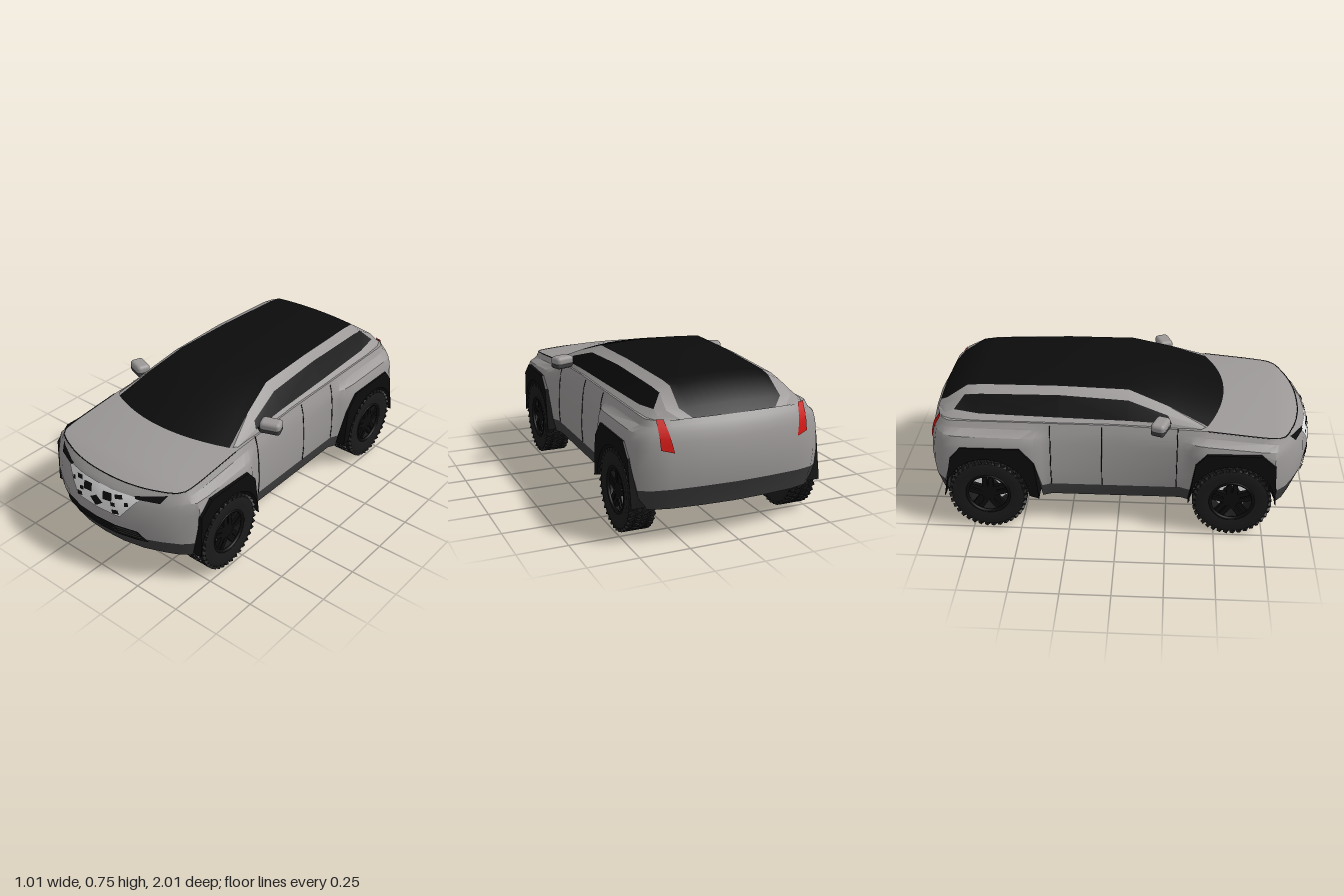
import * as THREE from 'three';
import { mergeGeometries, toCreasedNormals } from 'three/addons/utils/BufferGeometryUtils.js';
import { RoundedBoxGeometry } from 'three/addons/geometries/RoundedBoxGeometry.js';

const mat = (name, color) => new THREE.MeshStandardMaterial({ name, color, side: THREE.DoubleSide });
const paint = mat('silver paint', 0x9c9898);
const cladding = mat('dark grey cladding', 0x3d3d3d);
const black = mat('black', 0x0c0c0c);
const rubber = mat('tyre rubber', 0x1b1b1b);
const white = mat('white', 0xf2f2f2);
const red = mat('red lamp', 0xd01510);

// linear interpolation over ascending [key, value] pairs
function keyed(keys, t) {
  if (t <= keys[0][0]) return keys[0][1];
  for (let i = 1; i < keys.length; i++) {
    const [a, va] = keys[i - 1], [b, vb] = keys[i];
    if (t <= b) return va + (vb - va) * (t - a) / (b - a);
  }
  return keys[keys.length - 1][1];
}
const mix = (a, b, t) => a.map((v, i) => v + (b[i] - v) * t);

// surface through rows of points: pts[i][j]
function grid(pts, flip = false, crease = 0.6) {
  const m = pts[0].length, index = [];
  for (let i = 0; i < pts.length - 1; i++) {
    for (let j = 0; j < m - 1; j++) {
      const a = i * m + j, b = a + m, c = b + 1, d = a + 1;
      index.push(...(flip ? [a, c, b, a, d, c] : [a, b, c, a, c, d]));
    }
  }
  const g = new THREE.BufferGeometry();
  g.setAttribute('position', new THREE.Float32BufferAttribute(pts.flat(2), 3));
  g.setIndex(index);
  g.computeVertexNormals();
  return toCreasedNormals(g, crease);
}

// plan columns from nose to tail: x, z, wheel arch flare, bottom edge
const COLS = [
  [0, 1, 0, .18], [.12, .992, 0, .18], [.24, .96, 0, .18], [.34, .91, 0, .18], [.41, .86, .01, .18],
  [.435, .81, .03, .18], [.44, .79, .045, .42], [.445, .72, .05, .48], [.445, .45, .05, .48],
  [.445, .40, .04, .42], [.445, .37, .02, .18], [.445, .32, 0, .18], [.445, 0, 0, .18],
  [.445, -.34, 0, .18], [.445, -.385, .02, .18], [.445, -.42, .04, .40], [.445, -.49, .05, .48],
  [.445, -.79, .05, .48], [.445, -.84, .045, .42], [.44, -.89, .03, .18], [.41, -.94, .01, .18],
  [.33, -.97, 0, .18], [.17, -.99, 0, .18], [0, -1, 0, .18],
];
const beltY = z => keyed([[-1, .60], [0, .595], [.45, .575], [.8, .54], [1, .53]], z);
const cladY = z => keyed([[-1, .29], [-.85, .27], [-.4, .25], [.4, .25], [1, .265]], z);
const hoodY = z => keyed([[0, .595], [.32, .6], [.53, .598], [.7, .578], [.85, .555], [.93, .53]], z);
const INSET = [[-.3, .05], [-.1, .02], [0, .01], [.25, 0], [.6, .012], [.82, .03], [.92, .05], [1, .07]];
const FLARE = [[.7, 1], [.82, .8], [.9, .1], [1, 0]];

// point of the body side on a column at height y
function shell([x, z, flare], y) {
  const f = (y - cladY(z)) / (beltY(z) - cladY(z)), s = keyed(INSET, f);
  const end = Math.min(1, Math.max(0, (Math.abs(z) - .8) / .2));
  return [(x + flare * keyed(FLARE, f)) * (1 - s), y, z - Math.sign(z) * s * end];
}
// depth of the nose (sg 1) or tail (sg -1) at x, y
function faceZ(x, y, sg) {
  const p = (sg > 0 ? COLS : [...COLS].reverse()).slice(0, 8).map(c => shell(c, y));
  return keyed(p.map(q => [q[0], q[2]]), Math.abs(x));
}

export function createModel() {
  const root = new THREE.Group();
  const add = (name, geo, material, parent = root) => {
    const m = new THREE.Mesh(geo, material);
    m.name = name;
    parent.add(m);
    return m;
  };

  // Body shell and lower cladding, running all the way round
  const flipX = p => [-p[0], p[1], p[2]];
  const around = rowsOf => {
    const half = COLS.map(rowsOf);
    return [...half, ...half.slice(0, -1).reverse().map(r => r.map(flipX))];
  };
  add('bodyShell', grid(around(c => [0, .25, .6, .7, .82, .9, .92, 1].map(f => {
    const y = cladY(c[1]) + f * (beltY(c[1]) - cladY(c[1]));
    return shell(c, Math.max(y, c[3]));
  }))), paint);
  add('lowerCladding', grid(around(c => [.18, .225, cladY(c[1])].map(y => shell(c, Math.max(y, c[3]))))), cladding);

  // Crowned hood, continuing as a deck under the cabin
  add('hood', grid(COLS.map(c => {
    const [x, y, z] = shell(c, beltY(c[1])), crown = Math.max(0, hoodY(z) - y);
    return Array.from({ length: 17 }, (_, j) => {
      const t = 1 - j / 8;
      return [x * t, y + crown * (1 - t * t), z];
    });
  })), paint);

  // Floor and inner wheel wells
  const rim = COLS.map(c => { const p = shell(c, .18); return [c[3] > .18 ? .35 : p[0], p[2]]; });
  const floor = new THREE.Shape([...rim, ...rim.slice(1, -1).reverse().map(([x, z]) => [-x, z])]
    .map(([x, z]) => new THREE.Vector2(x, z)));
  const tub = new THREE.ExtrudeGeometry(floor, { depth: .295, bevelEnabled: false });
  add('underbody', tub.rotateX(Math.PI / 2).translate(0, .48, 0), black);

  // Cabin: long rows from cowl to tail, belt upwards
  const belt = [[.405, .56, .42], [.41, .575, .25], [.412, .585, .05], [.412, .59, -.3], [.41, .595, -.7], [.40, .597, -.84], [.38, .597, -.89], [.30, .597, -.925]];
  const winLow = [[.40, .58, .42], [.395, .602, .27], [.39, .61, .05], [.385, .615, -.3], [.375, .62, -.7], [.36, .632, -.83], [.36, .612, -.88], [.29, .60, -.925]];
  const winTop = [[.39, .585, .44], [.37, .635, .25], [.335, .695, .05], [.325, .71, -.3], [.315, .70, -.7], [.31, .69, -.78], [.32, .635, -.88], [.27, .60, -.928]];
  const edge = [[.375, .58, .45], [.328, .665, .25], [.285, .73, .05], [.275, .735, -.3], [.26, .725, -.7], [.255, .715, -.775], [.26, .64, -.885], [.21, .60, -.93]];
  const middle = [[0, .592, .54], [0, .69, .28], [0, .742, .05], [0, .748, -.3], [0, .738, -.7], [0, .725, -.78], [0, .645, -.89], [0, .60, -.935]];
  for (const side of [1, -1]) {
    const strip = (name, lo, hi, a, b, m) => add(name, grid(lo.slice(a, b + 1).map((p, i) =>
      [p, hi[a + i]].map(q => [q[0] * side, q[1], q[2]])), side < 0), m);
    strip('beltPanel', belt, winLow, 0, 7, paint);
    strip('frontPillar', winLow, winTop, 0, 1, paint);
    strip('sideWindow', winLow, winTop, 1, 5, black);
    strip('rearPillar', winLow, winTop, 5, 7, paint);
    strip('roofRail', winTop, edge, 0, 7, paint);
  }
  add('glassRoof', grid(edge.map((e, i) => Array.from({ length: 13 }, (_, j) => {
    const t = 1 - j / 6, p = mix(middle[i], e, t * t);
    return [e[0] * t, p[1], p[2]];
  }))), black);

  // Thin plates laid on the nose or tail: corners bottom-left, bottom-right, top-right, top-left
  const plate = (name, m, [bl, br, tr, tl], sg = 1, off = .006) => add(name,
    grid(Array.from({ length: 21 }, (_, i) => Array.from({ length: 6 }, (_, j) => {
      const [x, y] = mix(mix(bl, br, i / 20), mix(tl, tr, i / 20), j / 5);
      return [x, y, faceZ(x, y, sg) + sg * off];
    })), sg < 0), m);
  plate('grille', white, [[-.145, .37], [.145, .37], [.24, .492], [-.24, .492]]);
  const patch = (x, y, w, h, k = 0) => plate('grillePatch', black,
    [[x - w + k, y - h], [x + w, y - h + k], [x + w - k, y + h], [x - w, y + h - k]], 1, .009);
  plate('grilleDiamond', black, [[0, .378], [.042, .408], [0, .435], [-.042, .408]], 1, .009);
  for (const s of [1, -1]) {
    patch(s * .065, .452, .03, .023, .006);
    patch(s * .13, .472, .024, .014, .008);
    patch(s * .105, .425, .016, .012, .006);
    patch(s * .12, .39, .022, .014, .008);
    patch(s * .175, .445, .012, .012, .005);
    plate('headlight', black, [[s * .215, .486], [s * .33, .486], [s * .352, .524], [s * .205, .497]]);
    plate('tailLamp', red, [[s * .315, .46], [s * .375, .475], [s * .378, .605], [s * .345, .605]], -1);
  }
  plate('lowerIntake', black, [[-.28, .252], [.28, .252], [.235, .312], [-.235, .312]]);
  for (let i = 0; i < 4; i++) {
    const y = .262 + i * .013, w = .262 - i * .01;
    plate('intakeSlat', cladding, [[-w, y], [w, y], [w, y + .004], [-w, y + .004]], 1, .009);
  }

  // Panel seams
  const seam = (name, pts) => add(name, new THREE.TubeGeometry(
    new THREE.CatmullRomCurve3(pts.map(p => new THREE.Vector3(...p))), 40, .0025, 5), black);
  const nose = COLS.slice(0, 9).map(c => shell(c, beltY(c[1])));
  seam('hoodSeam', [...nose.slice(1).reverse().map(flipX), ...nose]);
  for (const s of [1, -1]) {
    for (const z of [.30, -.08, -.34]) {
      seam('doorSeam', [.25, .32, .42, .5, .55, .585].map(y => {
        const p = shell([.445, z, 0], y);
        return [p[0] * s, p[1], p[2]];
      }));
    }
  }

  // Black arch trims with round wheel openings
  const arches = [
    [.585, [[.807, .19], [.795, .42], [.72, .485], [.45, .485], [.395, .42], [.362, .19]]],
    [-.665, [[-.40, .19], [-.42, .40], [-.49, .485], [-.79, .485], [-.845, .42], [-.89, .19]]],
  ];
  for (const [cz, outline] of arches) {
    const shape = new THREE.Shape(outline.map(p => new THREE.Vector2(...p)));
    shape.lineTo(cz - .215, .205);
    shape.absarc(cz, .205, .215, Math.PI, 0, true);
    for (const x of [.495, -.34]) {
      const g = new THREE.ExtrudeGeometry(shape, { depth: .155, bevelEnabled: false, curveSegments: 32 });
      add('archTrim', g.rotateY(-Math.PI / 2).translate(x, 0, 0), black);
    }
  }

  // Wheels: axle along x, outer face towards +x
  const profile = [[.112, -.06], [.165, -.07], [.186, -.064], [.193, -.05], [.193, .05], [.186, .064], [.165, .07], [.112, .06], [.112, -.06]];
  const tyreParts = [new THREE.LatheGeometry(profile.map(p => new THREE.Vector2(...p)), 48).rotateZ(-Math.PI / 2)];
  for (let i = 0; i < 36; i++) {
    for (let k = 0; k < 4; k++) {
      const block = new THREE.BoxGeometry(.028, .016, .02);
      block.rotateY(k % 2 ? .5 : -.5).translate(-.051 + k * .034, .193, 0);
      tyreParts.push(block.rotateX((i + (k % 2) / 2) * Math.PI / 18));
    }
  }
  const tyre = toCreasedNormals(mergeGeometries(tyreParts), .6);
  const disc = (r, w, x) => new THREE.CylinderGeometry(r, r, w, 32).rotateZ(-Math.PI / 2).translate(x, 0, 0);
  const spokes = [disc(.046, .1, 0), new THREE.TorusGeometry(.11, .009, 8, 40).rotateY(Math.PI / 2).translate(.055, 0, 0)];
  for (let i = 0; i < 5; i++) {
    for (const o of [-.016, .016]) {
      spokes.push(new THREE.BoxGeometry(.022, .08, .024).translate(.04, .075, o).rotateX(i * Math.PI * .4));
    }
  }
  const spokeGeo = mergeGeometries(spokes);
  for (const [cz] of arches) {
    for (const s of [1, -1]) {
      const wheel = new THREE.Group();
      wheel.name = 'wheel';
      wheel.position.set(s * .425, .203, cz);
      if (s < 0) wheel.rotation.y = Math.PI;
      add('tyre', tyre, rubber, wheel);
      add('brakeDisc', disc(.092, .012, -.02), white, wheel);
      add('wheelSpokes', spokeGeo, black, wheel);
      root.add(wheel);
    }
  }

  // Door mirrors
  for (const s of [1, -1]) {
    const mirror = new THREE.Group();
    mirror.name = 'doorMirror';
    mirror.position.set(s * .447, .62, .215);
    mirror.rotation.y = s * .35;
    add('mirrorCap', new RoundedBoxGeometry(.11, .05, .075, 3, .02).translate(0, .006, 0), paint, mirror);
    add('mirrorBase', new RoundedBoxGeometry(.108, .034, .07, 3, .014).translate(0, -.018, 0), cladding, mirror);
    add('mirrorArm', new THREE.BoxGeometry(.05, .02, .04).translate(-s * .05, -.025, 0), black, mirror);
    root.add(mirror);
  }
  return root;
}
